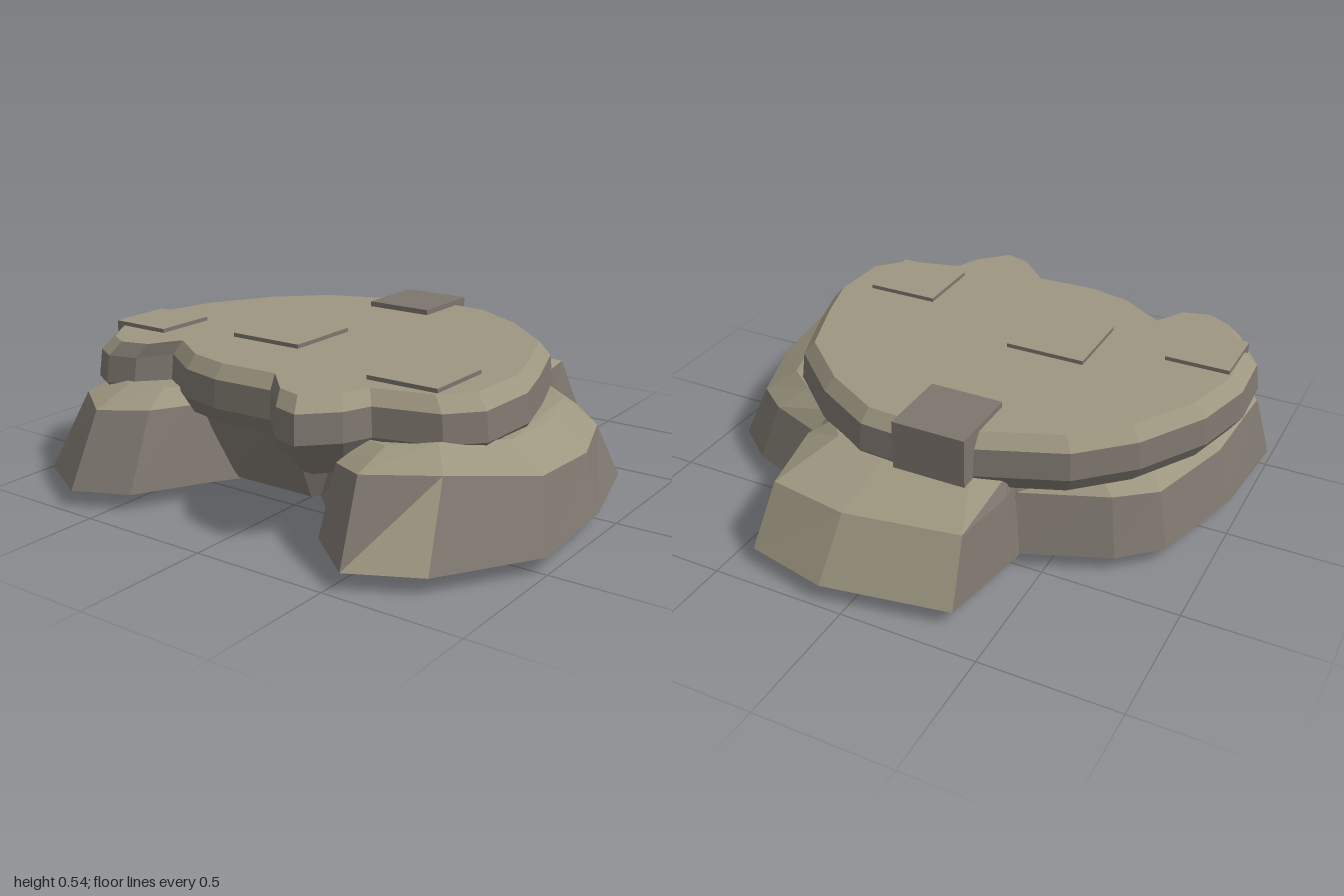
import * as THREE from 'three';

const topStone = new THREE.MeshStandardMaterial({ color: 0x9d9680 });
topStone.name = 'khakiStone';
const sideStone = new THREE.MeshStandardMaterial({ color: 0x7d766e });
sideStone.name = 'greyStone';

// Lofts closed rings of [x, z, y] from bottom to top and caps both ends.
// Faces that look upward become khaki, the rest grey; isTop can override.
function loft(name, rings, isTop = (n) => n.y > 0.55) {
  const tris = [];
  for (let r = 0; r < rings.length - 1; r++) {
    const lo = rings[r], hi = rings[r + 1];
    lo.forEach((a, i) => {
      const j = (i + 1) % lo.length;
      tris.push([a, lo[j], hi[j]], [a, hi[j], hi[i]]);
    });
  }
  const cap = (ring, flip) => {
    const flat = ring.map(([x, z]) => new THREE.Vector2(x, -z));
    for (const [a, b, c] of THREE.ShapeUtils.triangulateShape(flat, [])) {
      tris.push(flip ? [ring[a], ring[c], ring[b]] : [ring[a], ring[b], ring[c]]);
    }
  };
  cap(rings[0], true);
  cap(rings[rings.length - 1], false);

  const upper = [], sides = [];
  for (const t of tris) {
    const [a, b, c] = t.map(([x, z, y]) => new THREE.Vector3(x, y, z));
    const n = b.clone().sub(a).cross(c.clone().sub(a));
    if (n.length() < 1e-9) continue;
    (isTop(n.normalize()) ? upper : sides).push(...a, ...b, ...c);
  }
  const geo = new THREE.BufferGeometry();
  geo.setAttribute('position', new THREE.Float32BufferAttribute([...upper, ...sides], 3));
  geo.addGroup(0, upper.length / 3, 0);
  geo.addGroup(upper.length / 3, sides.length / 3, 1);
  geo.computeVertexNormals();
  const mesh = new THREE.Mesh(geo, [topStone, sideStone]);
  mesh.name = name;
  return mesh;
}

const atHeight = (ring, y) => ring.map(([x, z]) => [x, z, y]);
const scaled = (ring, s, y, cx = -0.1, cz = 0.05) =>
  ring.map(([x, z]) => [cx + (x - cx) * s, cz + (z - cz) * s, y]);

function block(name, x0, x1, z0, z1, y0, y1, topMat) {
  const s = sideStone;
  const mesh = new THREE.Mesh(
    new THREE.BoxGeometry(x1 - x0, y1 - y0, z1 - z0), [s, s, topMat, s, s, s]);
  mesh.position.set((x0 + x1) / 2, (y0 + y1) / 2, (z0 + z1) / 2);
  mesh.name = name;
  return mesh;
}

export function createModel() {
  const group = new THREE.Group();
  group.name = 'rockPlatform';

  // Lower tier with two forward lobes: foot, crease, inner lip
  const foot = [
    [-0.40, -0.52], [-0.72, -0.39], [-0.86, -0.26], [-0.97, 0.12], [-1, 0.5],
    [-0.87, 0.83], [-0.63, 0.96], [-0.43, 0.87], [-0.30, 0.64], [-0.22, 0.52],
    [0.12, 0.50], [0.22, 0.60], [0.33, 0.79], [0.54, 0.96], [0.78, 0.84],
    [1, 0.5], [0.97, 0.08], [0.87, -0.29], [0.72, -0.41], [0.47, -0.51]];
  const crease = [
    [-0.38, -0.46, 0.27], [-0.68, -0.34, 0.27], [-0.81, -0.22, 0.26], [-0.91, 0.12, 0.26],
    [-0.94, 0.47, 0.29], [-0.80, 0.70, 0.33], [-0.63, 0.82, 0.32], [-0.45, 0.74, 0.33],
    [-0.38, 0.62, 0.33], [-0.30, 0.50, 0.32], [0.15, 0.50, 0.28], [0.30, 0.55, 0.25],
    [0.35, 0.72, 0.30], [0.50, 0.81, 0.32], [0.72, 0.67, 0.32], [0.92, 0.40, 0.28],
    [0.90, 0.05, 0.25], [0.80, -0.24, 0.25], [0.66, -0.36, 0.27], [0.43, -0.45, 0.27]];
  const lip = [
    [-0.36, -0.42, 0.35], [-0.60, -0.30, 0.35], [-0.74, -0.16, 0.34], [-0.85, 0.12, 0.33],
    [-0.85, 0.45, 0.36], [-0.74, 0.60, 0.38], [-0.62, 0.66, 0.385], [-0.47, 0.64, 0.385],
    [-0.42, 0.56, 0.38], [-0.35, 0.46, 0.36], [0.15, 0.45, 0.33], [0.34, 0.50, 0.33],
    [0.40, 0.62, 0.36], [0.50, 0.66, 0.37], [0.64, 0.57, 0.385], [0.78, 0.35, 0.36],
    [0.76, 0.05, 0.34], [0.68, -0.20, 0.34], [0.56, -0.30, 0.35], [0.40, -0.40, 0.35]];
  group.add(loft('lowerTier', [atHeight(foot, 0.06), crease, lip]));

  // Outcrop at the back
  group.add(loft('backOutcrop', [
    atHeight([[0.47, -0.45], [0.47, -0.51], [0.41, -0.90], [0.10, -0.97], [-0.36, -0.89], [-0.42, -0.54], [-0.42, -0.45]], 0.06),
    [[0.42, -0.45, 0.30], [0.43, -0.50, 0.30], [0.37, -0.80, 0.29], [0.07, -0.85, 0.29], [-0.34, -0.78, 0.29], [-0.38, -0.54, 0.30], [-0.37, -0.45, 0.30]],
    [[0.32, -0.40, 0.36], [0.34, -0.46, 0.36], [0.26, -0.56, 0.37], [0.05, -0.58, 0.37], [-0.25, -0.54, 0.37], [-0.36, -0.48, 0.36], [-0.34, -0.40, 0.36]],
  ], (n) => n.y > 0.55 || n.z < -0.8));

  // Upper slab with a bevelled rim
  const rim = [
    [-0.57, -0.45], [-0.75, -0.28], [-0.90, -0.03], [-0.96, 0.20], [-0.95, 0.42],
    [-0.82, 0.62], [-0.73, 0.67], [-0.62, 0.64], [-0.55, 0.52], [-0.37, 0.64],
    [-0.20, 0.68], [0.04, 0.67], [0.17, 0.80], [0.27, 0.83], [0.38, 0.72],
    [0.42, 0.62], [0.65, 0.56], [0.75, 0.45], [0.76, 0.20], [0.70, 0],
    [0.60, -0.27], [0.38, -0.47], [0.15, -0.60], [0, -0.61], [-0.27, -0.57]];
  group.add(loft('upperSlab', [
    scaled(rim, 0.95, 0.31), scaled(rim, 1, 0.37), scaled(rim, 0.985, 0.47), scaled(rim, 0.93, 0.52)]));

  // Recessed wall between the lobes
  group.add(loft('frontWall', [
    atHeight([[-0.38, 0.35], [-0.27, 0.53], [0.10, 0.53], [0.22, 0.35]], 0.065),
    atHeight([[-0.50, 0.40], [-0.36, 0.60], [0.08, 0.65], [0.30, 0.45]], 0.40)]));

  // Overhanging spur under the slab's front nose
  const spur = [[0.05, 0.64], [0.17, 0.78], [0.27, 0.80], [0.37, 0.69], [0.38, 0.50], [0.05, 0.50]];
  group.add(loft('frontSpur', [scaled(spur, 0.5, 0.23, 0.2, 0.6), scaled(spur, 0.97, 0.35, 0.2, 0.6)]));

  // Small wedge poking out below the base
  const tip = [0.35, 0.66, 0];
  group.add(loft('undersideWedge', [
    [tip, tip, tip, tip],
    [[0.18, 0.52, 0.07], [0.28, 0.66, 0.07], [0.43, 0.64, 0.07], [0.40, 0.48, 0.07]]]));

  // Square blocks set into the slab
  group.add(block('backBlock', -0.27, 0, -0.63, -0.35, 0.36, 0.54, sideStone));
  group.add(block('sideBlock', -0.89, -0.65, 0.21, 0.45, 0.34, 0.535, topStone));
  group.add(block('centreBlock', -0.40, -0.10, 0.04, 0.34, 0.40, 0.535, topStone));
  group.add(block('frontBlock', 0.32, 0.595, 0.24, 0.51, 0.40, 0.535, topStone));

  return group;
}
